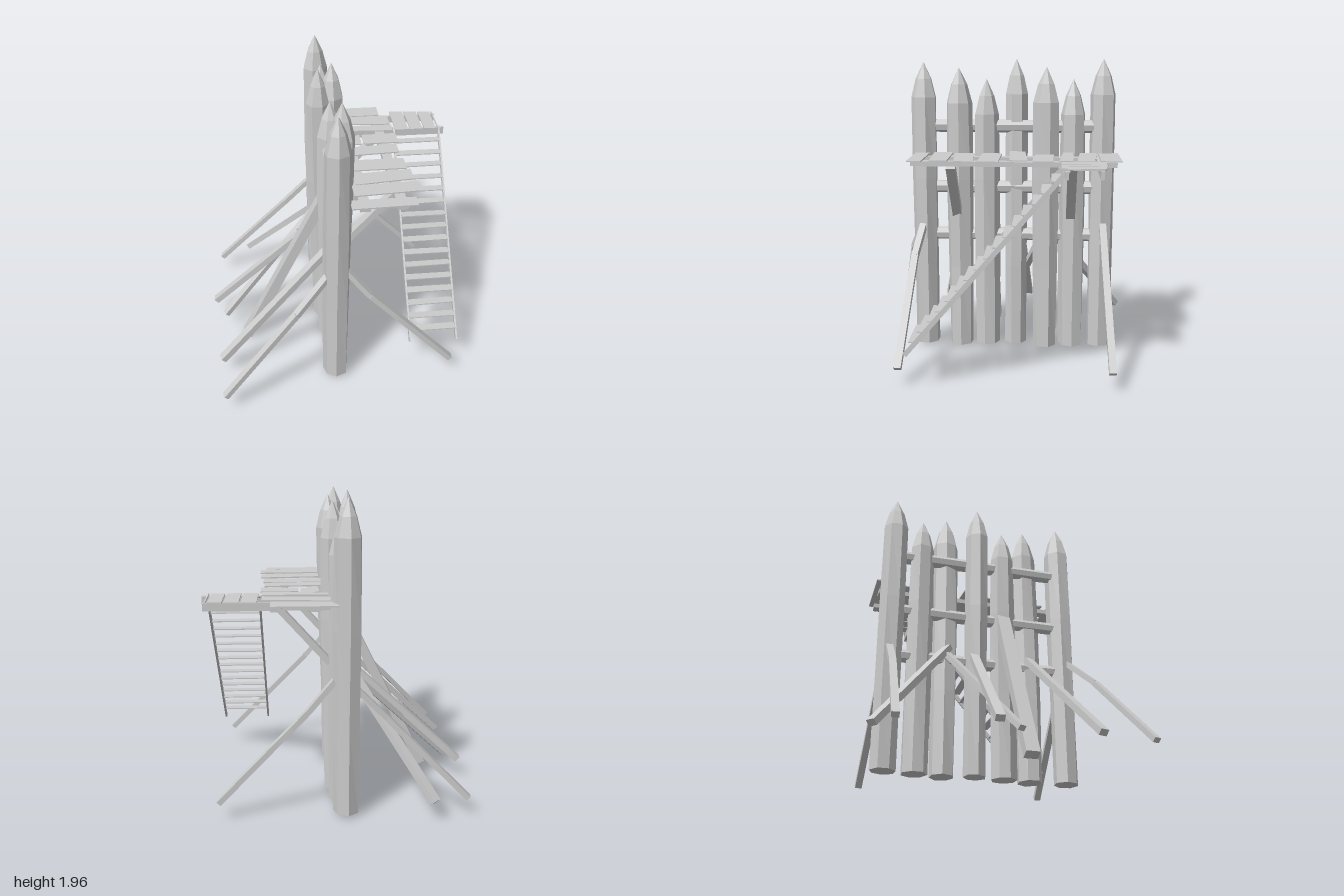
import * as THREE from 'three';

const material = new THREE.MeshStandardMaterial({ color: 0xcccccc, flatShading: true, side: THREE.DoubleSide });

export function createModel() {
  const model = new THREE.Group();
  model.name = 'palisadeWall';

  const add = (geometry, name) => {
    const mesh = new THREE.Mesh(geometry, material);
    mesh.name = name;
    model.add(mesh);
    return mesh;
  };

  // Squared timber running between two points
  const beam = (name, a, b, w, h) => {
    const p = new THREE.Vector3(...a), q = new THREE.Vector3(...b);
    const mesh = add(new THREE.BoxGeometry(w, h, p.distanceTo(q)), name);
    mesh.position.copy(p).add(q).multiplyScalar(0.5);
    mesh.lookAt(q);
    return mesh;
  };

  // Thin board outlined by [x, z] corners, with its underside at y
  const board = (name, corners, y, t = 0.008) => {
    const shape = new THREE.Shape(corners.map(([x, z]) => new THREE.Vector2(x, -z)));
    const geometry = new THREE.ExtrudeGeometry(shape, { depth: t, bevelEnabled: false });
    geometry.rotateX(-Math.PI / 2);
    const mesh = add(geometry, name);
    mesh.position.y = y;
    return mesh;
  };

  // Pointed, slightly crooked logs: base x, tip x, z, tip height
  const logs = [
    [-0.02, -0.01, 0.525, 1.97], [0.0, 0.04, 0.285, 1.935], [-0.02, -0.015, 0.108, 1.86],
    [-0.04, -0.07, -0.088, 1.99], [0.01, 0.035, -0.288, 1.94], [-0.01, -0.02, -0.465, 1.86],
    [-0.03, -0.04, -0.66, 1.99],
  ];
  logs.forEach(([x0, x1, z, top], i) => {
    const r = i === 3 ? 0.077 : 0.085;
    const profile = [[0, 0.045], [r * 0.96, 0.045], [r, 0.6], [r * 1.04, 1.2],
      [r * 0.98, top - 0.23], [r * 0.62, top - 0.11], [0, top]];
    const geometry = new THREE.LatheGeometry(profile.map(p => new THREE.Vector2(...p)), 7, i * 0.7);
    const pos = geometry.attributes.position;
    for (let k = 0; k < pos.count; k++) {
      const px = pos.getX(k), y = pos.getY(k), pz = pos.getZ(k);
      const s = 1 + 0.05 * Math.sin(2 * Math.atan2(pz, px) + i * 2 + y * 2);
      const lean = THREE.MathUtils.smoothstep(y, 0.2, 1.7);
      pos.setXYZ(k, px * s + THREE.MathUtils.lerp(x0, x1, lean), y, pz * s + z);
    }
    add(geometry, 'log');
  });

  // Rails tying the logs together
  for (const [y, z0, z1] of [[0.815, -0.61, 0.48], [1.14, -0.6, 0.47], [1.55, -0.6, 0.5]]) {
    const rail = add(new THREE.CylinderGeometry(0.042, 0.045, z1 - z0, 7), 'crossRail');
    rail.rotation.x = Math.PI / 2;
    rail.position.set(-0.025, y, (z0 + z1) / 2);
  }

  // Ground braces: points from the wall to the ground, then size
  const braces = [
    [[-0.05, 0.89, -0.67], [-0.28, 0.66, -0.67], [-0.79, 0.14, -0.715], 0.045],
    [[-0.05, 0.88, -0.11], [-0.83, 0.16, -0.155], 0.055],
    [[-0.04, 1.2, 0.095], [-0.61, 0.04, 0.095], 0.085],
    [[-0.05, 0.9, -0.275], [-0.57, 0.16, -0.81], 0.055],
    [[-0.05, 0.87, -0.3], [-0.76, 0.14, -0.01], 0.045],
    [[-0.05, 0.87, 0.275], [-0.78, 0.15, 0.465], 0.055],
    [[-0.07, 0.87, 0.55], [-0.28, 0.66, 0.655], [-0.76, 0.14, 0.8], 0.045],
    [[0.04, 0.9, 0.53], [0.2, 0.71, 0.57], [0.755, 0.14, 0.595], 0.045],
    [[0.04, 0.9, -0.67], [0.2, 0.71, -0.68], [0.755, 0.14, -0.71], 0.045],
  ];
  for (const spec of braces) {
    const size = spec[spec.length - 1];
    for (let k = 0; k < spec.length - 2; k++) beam('groundBrace', spec[k], spec[k + 1], size, size * 0.75);
  }

  // Walkway joists and the struts below them
  beam('joist', [0.155, 1.352, -0.73], [0.155, 1.352, 0.55], 0.065, 0.03);
  beam('joist', [0.383, 1.352, -0.73], [0.383, 1.352, 0.55], 0.065, 0.03);
  beam('sideJoist', [0.06, 1.349, -0.617], [0.815, 1.349, -0.617], 0.02, 0.05);
  beam('sideJoist', [0.06, 1.349, -0.416], [0.84, 1.349, -0.416], 0.022, 0.05);
  for (const z of [0.3, -0.455]) beam('platformStrut', [0.06, 0.955, z], [0.4, 1.335, z], 0.06, 0.04);

  // Walkway planks: left x, left z range, right x, right z range
  const planks = [
    [0.015, -0.76, -0.63, 0.415, -0.76, -0.63], [0.06, -0.62, -0.51, 0.47, -0.59, -0.48],
    [0.07, -0.465, -0.4, 0.475, -0.46, -0.375], [0.12, -0.34, -0.22, 0.235, -0.34, -0.215],
    [0.25, -0.335, -0.21, 0.485, -0.34, -0.21], [0.02, -0.15, -0.045, 0.465, -0.18, -0.07],
    [0.07, 0, 0.13, 0.48, 0, 0.13], [0.11, 0.18, 0.31, 0.5, 0.15, 0.27],
    [0.1, 0.32, 0.445, 0.51, 0.31, 0.42], [0.07, 0.48, 0.575, 0.475, 0.475, 0.565],
  ];
  planks.forEach(([xa, a0, a1, xb, b0, b1], i) =>
    board('walkwayPlank', [[xa, a0], [xb, b0], [xb, b1], [xa, a1]], 1.37 + (i % 3) * 0.004));

  // Landing planks at the head of the ladder
  for (const [a, b, z] of [[0.495, 0.59, -0.665], [0.6, 0.69, -0.66], [0.7, 0.785, -0.65], [0.795, 0.805, -0.64]])
    board('landingPlank', [[a, z], [b, z + 0.01], [b - 0.005, -0.385], [a, -0.385]], 1.375);

  // Ladder
  for (const x of [0.488, 0.805]) beam('ladderRail', [x, 1.38, -0.425], [x, 0.25, 0.54], 0.012, 0.03);
  for (let i = 0; i < 16; i++) {
    const t = i / 15, y = 1.305 - t * 0.98, z = -0.355 + t * 0.845;
    const d = 0.004 * Math.sin(i * 2.3);
    const rung = board('ladderRung', [[0.492, -0.029], [0.8, -0.029 + d], [0.8, 0.027 + d], [0.492, 0.029]], y, 0.007);
    rung.position.z = z;
    rung.rotation.x = 0.04 * Math.sin(i * 1.7);
  }

  return model;
}
